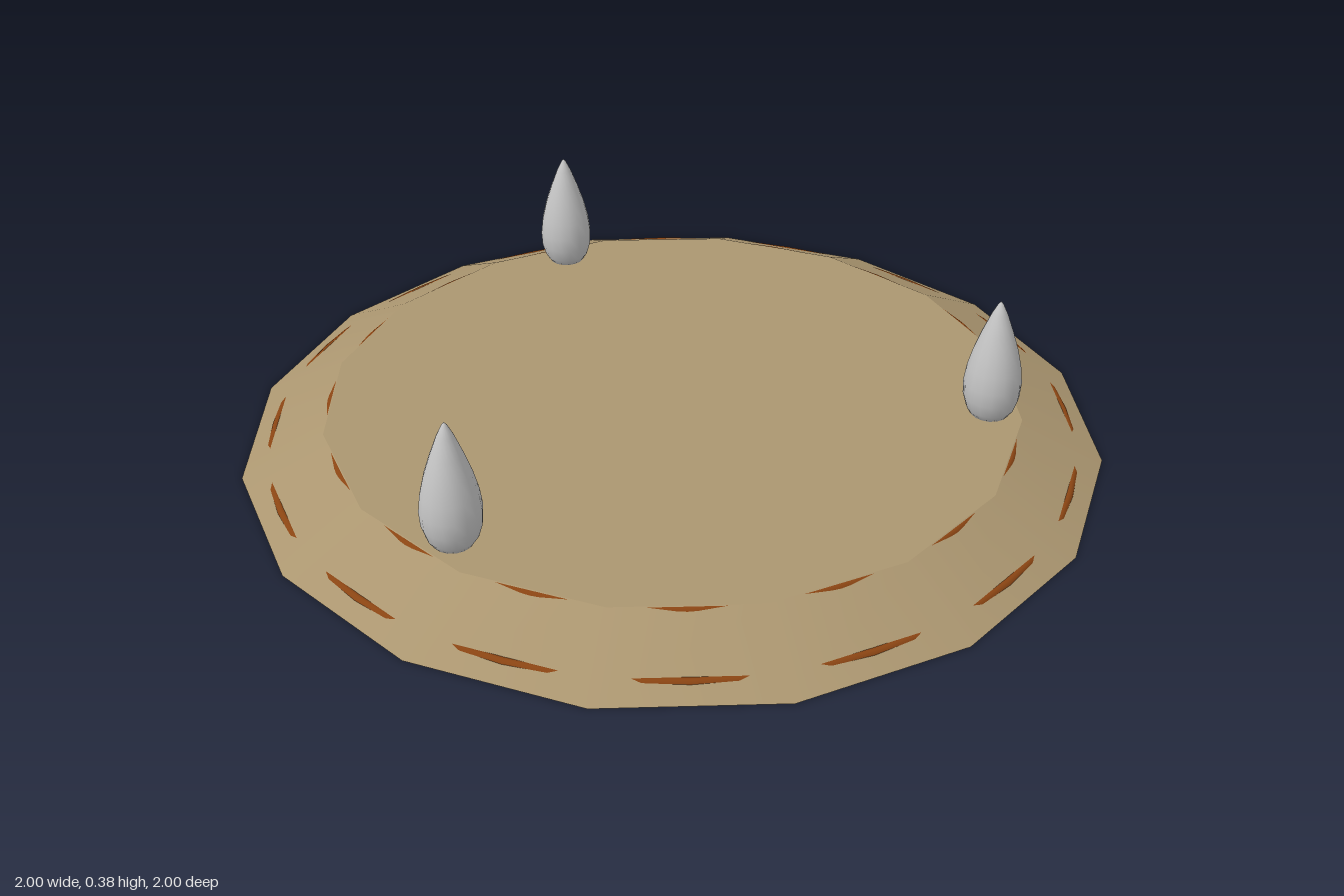
import * as THREE from 'three';

const tan = new THREE.MeshStandardMaterial({ color: 0xab9670 });
tan.name = 'tan';
const brown = new THREE.MeshStandardMaterial({ color: 0x8b4513 });
brown.name = 'brown';
const silver = new THREE.MeshStandardMaterial({ color: 0xc4c4c4 });
silver.name = 'silver';

function addMesh(group, name, geometry, material, x = 0, y = 0, z = 0) {
  const mesh = new THREE.Mesh(geometry, material);
  mesh.name = name;
  mesh.position.set(x, y, z);
  group.add(mesh);
  return mesh;
}

export function createModel() {
  const group = new THREE.Group();
  group.name = 'spikedPlate';

  // Sixteen-sided plate with a sloping rim
  addMesh(group, 'plate', new THREE.CylinderGeometry(0.81, 1, 0.09, 16), tan, 0, 0.045, 0);

  // Sunken rings that break through the middle of each facet
  const rings = [
    ['outerRing', 0.932, 0.0146],
    ['innerRing', 0.797, 0.078],
  ];
  for (const [name, radius, y] of rings) {
    const ring = new THREE.TorusGeometry(radius, 0.0115, 10, 64).rotateX(Math.PI / 2);
    addMesh(group, name, ring, brown, 0, y, 0);
  }

  // Teardrop spikes standing near the edge of the top
  const profile = [
    [0, 0], [0.042, 0], [0.055, 0.02], [0.064, 0.05], [0.066, 0.085], [0.061, 0.125],
    [0.05, 0.17], [0.035, 0.215], [0.018, 0.26], [0.006, 0.285], [0, 0.292],
  ].map(([r, y]) => new THREE.Vector2(r, y));
  const spike = new THREE.LatheGeometry(profile, 16);
  const places = [[0.735, -0.025], [-0.39, -0.63], [-0.35, 0.65]];
  places.forEach(([x, z], i) => addMesh(group, `spike${i + 1}`, spike, silver, x, 0.088, z));

  return group;
}
